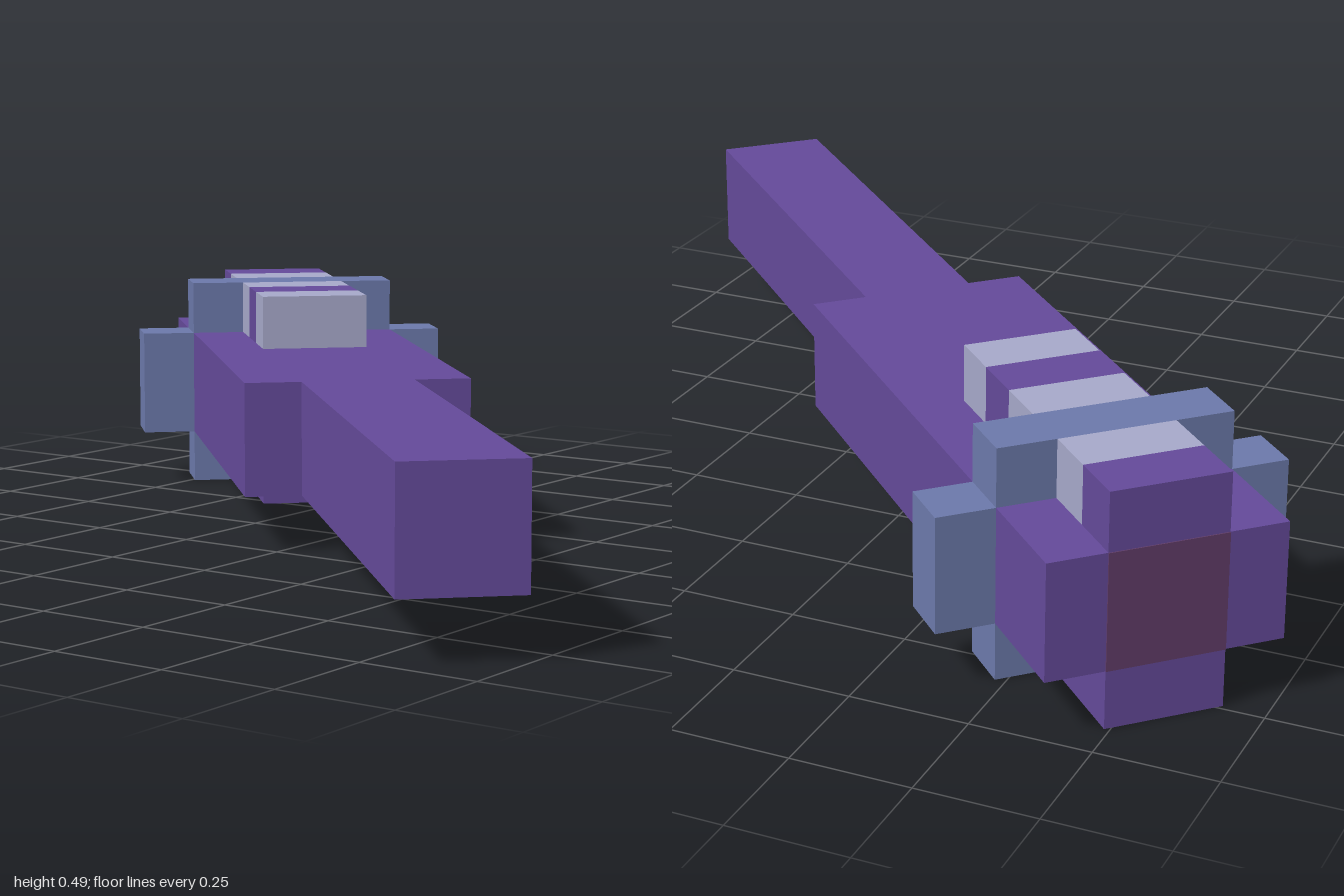
import * as THREE from 'three';

const U = 0.12297; // one block
const START = -10.5; // butt of the handle, in blocks along the axis

export function createModel() {
  const material = (name, color) => {
    const m = new THREE.MeshStandardMaterial({ color });
    m.name = name;
    return m;
  };
  const purple = material('purple', 0x634998);
  const blue = material('slate blue', 0x6b78a9);
  const grey = material('pale grey', 0xa5a7c8);
  const plum = material('plum', 0x603c68);

  // The shaft lies along local x, turned onto the ground diagonal
  const model = new THREE.Group();
  model.name = 'blockClub';
  model.rotation.y = Math.PI / 4;

  // Box between block coordinates: along the axis, up, across
  const block = (name, mat, [x0, x1], [y0, y1], [z0, z1]) => {
    const geo = new THREE.BoxGeometry((x1 - x0) * U, (y1 - y0) * U, (z1 - z0) * U);
    const mesh = new THREE.Mesh(geo, mat);
    mesh.name = name;
    mesh.position.set((START + (x0 + x1) / 2) * U, ((y0 + y1) / 2) * U, ((z0 + z1) / 2) * U);
    model.add(mesh);
  };

  // Handle and wide head
  block('handle', purple, [0, 9], [1, 3], [-1, 1]);
  block('head', purple, [9, 20], [1, 3], [-2, 2]);

  // Top ridge with alternating stripes, leaving a gap for the band
  for (const [i, mat] of [[14, grey], [15, purple], [16, grey], [18, grey], [19, purple]]) {
    block('topRidge', mat, [i, i + 1], [3, 4], [-1, 1]);
  }

  // Bottom ridge on both sides of the band
  block('bottomRidge', purple, [14, 17], [0, 1], [-1, 1]);
  block('bottomRidge', purple, [18, 20], [0, 1], [-1, 1]);

  // Band wrapped around the head
  block('bandTop', blue, [17, 18], [3, 4], [-2, 2]);
  block('bandBottom', blue, [17, 18], [0, 1], [-2, 2]);
  block('bandLeft', blue, [17, 18], [1, 3], [2, 3]);
  block('bandRight', blue, [17, 18], [1, 3], [-3, -2]);

  // Coloured square in the end face
  block('endPlate', plum, [19.99, 20.02], [1, 3], [-1, 1]);

  const root = new THREE.Group();
  root.name = 'model';
  root.add(model);
  return root;
}
